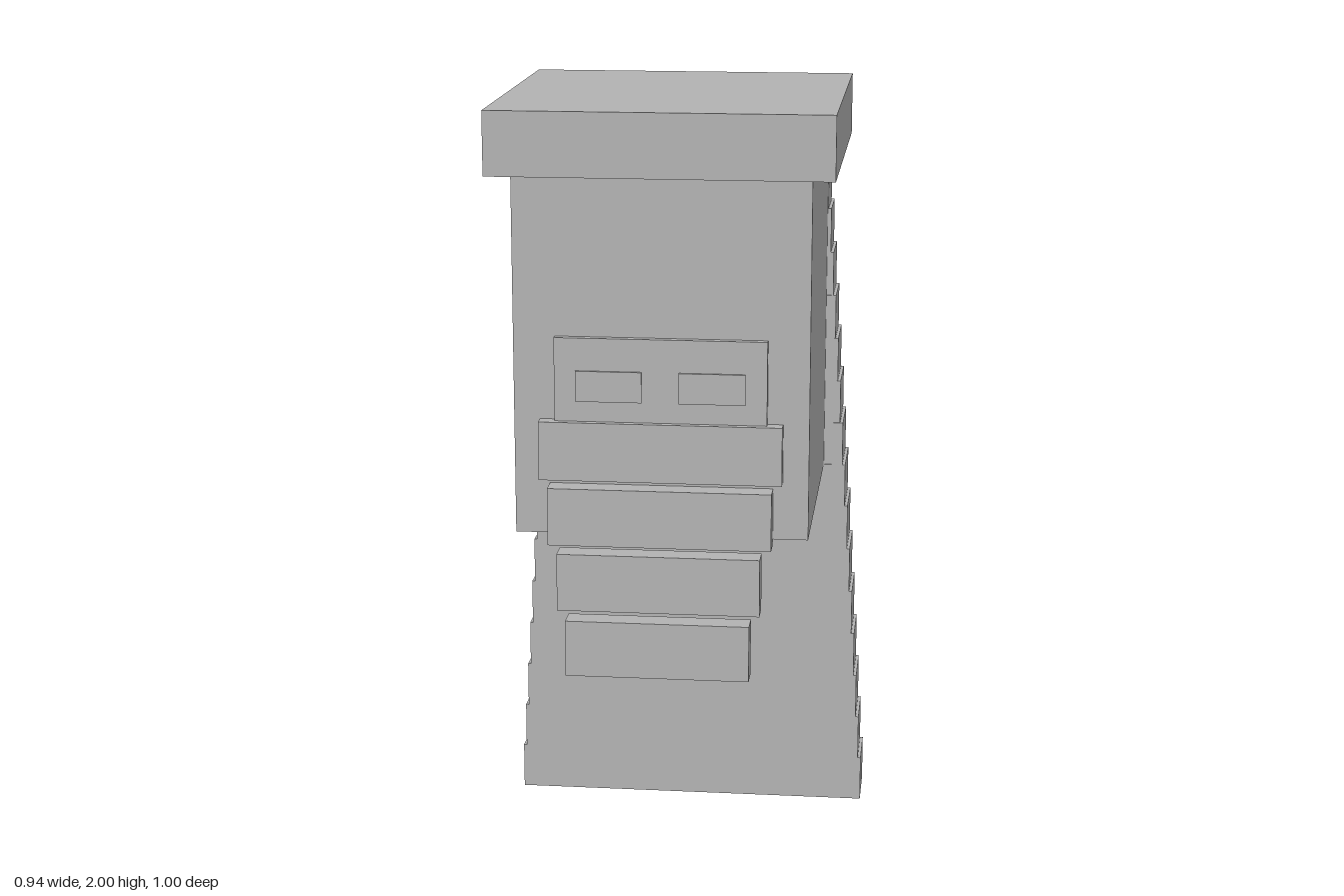
import * as THREE from 'three';

export function createModel() {
  const model = new THREE.Group();
  model.name = 'blockFigure';
  const grey = new THREE.MeshStandardMaterial({ color: 0xb2b2b2 });
  grey.name = 'plain grey';

  // Box symmetric in x, given by half width and y / z limits
  function slab(name, halfWidth, y0, y1, z0, z1, parent = model, x = 0) {
    const mesh = new THREE.Mesh(new THREE.BoxGeometry(halfWidth * 2, y1 - y0, z1 - z0), grey);
    mesh.position.set(x, (y0 + y1) / 2, (z0 + z1) / 2);
    mesh.name = name;
    parent.add(mesh);
    return mesh;
  }

  // Main block and the flat cap on top
  slab('body', 0.358, 0.963, 1.85, -0.335, 0.4);
  slab('cap', 0.414, 1.845, 2, -0.39, 0.455);

  // Face plate with two slightly raised eyes
  slab('facePlate', 0.257, 1.25, 1.455, 0.39, 0.418);
  for (const side of [-1, 1]) {
    slab(side > 0 ? 'leftEye' : 'rightEye', 0.08, 1.3, 1.375, 0.416, 0.424, model, side * 0.125);
  }

  // Beard: four tiers, each narrower and further forward
  const beard = new THREE.Group();
  beard.name = 'beard';
  model.add(beard);
  [
    [0.295, 1.105, 1.25, 0.375, 0.435],
    [0.272, 0.947, 1.09, 0.396, 0.456],
    [0.247, 0.789, 0.932, 0.42, 0.48],
    [0.224, 0.63, 0.77, 0.443, 0.503],
  ].forEach((tier) => slab('beardTier', ...tier, beard));

  // Cape: stacked slabs tapering upward, thickest around the middle
  const cape = new THREE.Group();
  cape.name = 'cape';
  model.add(cape);
  const count = 15, middle = 7;
  const level = (i) => (i <= middle ? i * 0.1214 : 0.85 + (i - middle) * 0.115);
  for (let i = 0; i < count; i++) {
    const halfDepth = 0.08 + 0.002 * (middle - Math.abs(i - middle));
    slab('capeSlab', 0.472 - 0.008 * i, level(i), level(i + 1), -0.399 - halfDepth, -0.399 + halfDepth, cape);
  }

  return model;
}
